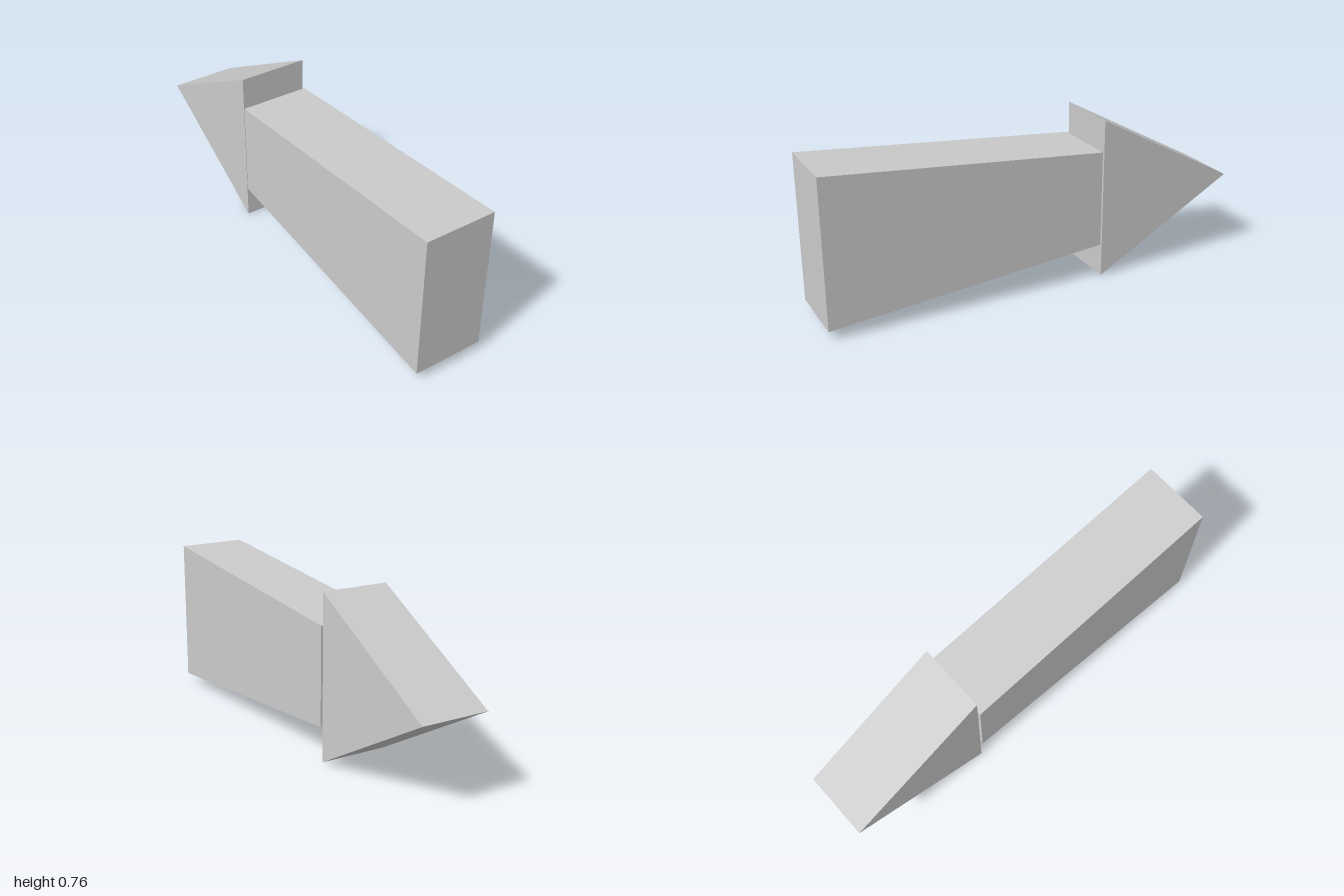
import * as THREE from 'three';

// Extrudes a side profile of [z, y] points across x, centred on x = 0
function sideSlab(name, profile, width) {
  const shape = new THREE.Shape(profile.map(([z, y]) => new THREE.Vector2(-z, y)));
  const geometry = new THREE.ExtrudeGeometry(shape, { depth: width, bevelEnabled: false });
  geometry.translate(0, 0, -width / 2).rotateY(Math.PI / 2);
  const material = new THREE.MeshStandardMaterial({ color: 0xcccccc, flatShading: true });
  const mesh = new THREE.Mesh(geometry, material);
  mesh.name = name;
  return mesh;
}

export function createModel() {
  const group = new THREE.Group();
  group.name = 'arrow';

  // Shaft, tapering towards the head
  group.add(sideSlab('shaft', [[1, 0.045], [-0.307, 0.159], [-0.307, 0.61], [1, 0.728]], 0.325));

  // Triangular head, set a narrow gap behind the shaft
  group.add(sideSlab('arrowHead', [[-0.317, 0], [-1, 0.383], [-0.317, 0.756]], 0.318));

  return group;
}
